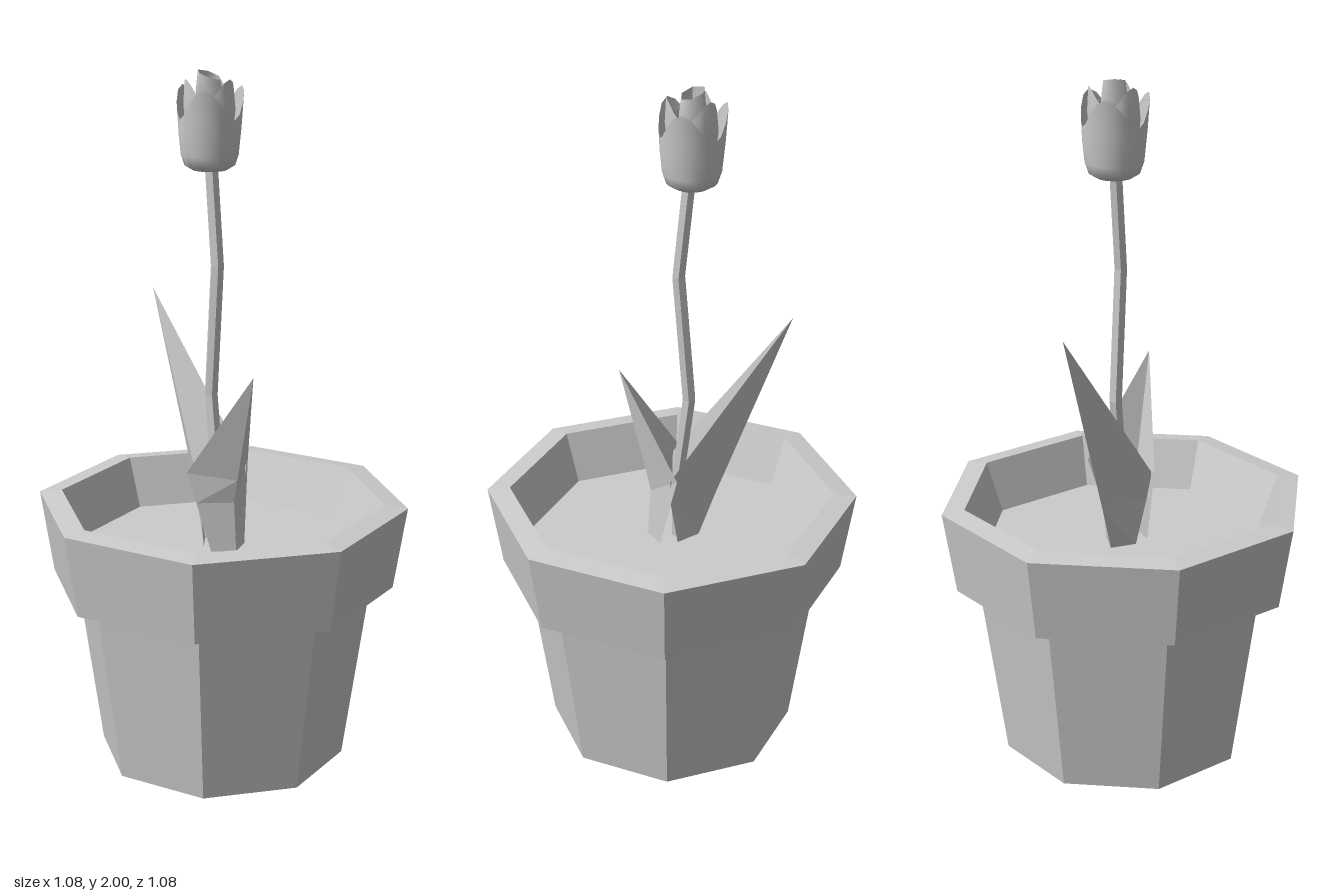
import * as THREE from 'three';

const flat = new THREE.MeshStandardMaterial({ color: 0xcccccc, flatShading: true });
const thin = new THREE.MeshStandardMaterial({ color: 0xcccccc, flatShading: true, side: THREE.DoubleSide });
const petal = new THREE.MeshStandardMaterial({ color: 0xcccccc, side: THREE.DoubleSide });

function named(name, geometry, material) {
  const mesh = new THREE.Mesh(geometry, material);
  mesh.name = name;
  return mesh;
}

const profile = (pts) => pts.map(([r, y]) => new THREE.Vector2(r, y));

// Hexagonal stem whose rings are moved onto a zigzag path
function stemGeometry(path, radius) {
  const g = new THREE.CylinderGeometry(radius, radius, path.length - 1, 6, path.length - 1, false);
  const p = g.attributes.position;
  for (let i = 0; i < p.count; i++) {
    const row = Math.round(p.getY(i) + (path.length - 1) / 2);
    p.setXYZ(i, p.getX(i) + path[row][0], path[row][1], p.getZ(i));
  }
  return g;
}

// Leaf folded along a crease: rows of [edge x, edge y, half width, crease x, crease y], then a tip
function leafGeometry(rows, tip) {
  const pos = [], index = [];
  for (const [ex, ey, w, cx, cy] of rows) pos.push(ex, ey, w, cx, cy, 0, ex, ey, -w);
  pos.push(...tip);
  const last = rows.length * 3;
  for (let r = 0; r < rows.length; r++) {
    for (let k = 0; k < 2; k++) {
      const a = r * 3 + k;
      if (r < rows.length - 1) index.push(a, a + 1, a + 4, a, a + 4, a + 3);
      else index.push(a, a + 1, last);
    }
  }
  const g = new THREE.BufferGeometry();
  g.setAttribute('position', new THREE.Float32BufferAttribute(pos, 3));
  g.setIndex(index);
  g.computeVertexNormals();
  return g;
}

// Cup whose upper part is lifted into petal tips; phase is the angle of one tip
function petalCup(pts, sides, tips, lift, phase) {
  const g = new THREE.LatheGeometry(profile(pts), sides);
  const p = g.attributes.position;
  const y0 = pts[pts.length - 3][1], y1 = pts[pts.length - 1][1];
  for (let i = 0; i < p.count; i++) {
    const angle = Math.atan2(p.getX(i), p.getZ(i));
    const wave = 0.5 + 0.5 * Math.cos(tips * (angle - phase));
    const t = Math.max(0, (p.getY(i) - y0) / (y1 - y0));
    const flare = 1 + 0.1 * wave * t;
    p.setXYZ(i, p.getX(i) * flare, p.getY(i) + lift * wave * t, p.getZ(i) * flare);
  }
  g.computeVertexNormals();
  return g;
}

export function createModel() {
  const model = new THREE.Group();

  // Octagonal pot with a stepped, hollow rim
  model.add(named('pot', new THREE.LatheGeometry(profile([
    [0, 0], [0.36, 0], [0.435, 0.53], [0.5, 0.53], [0.538, 0.772], [0.472, 0.78], [0.42, 0.635],
  ]), 8), flat));
  model.add(named('soil', new THREE.LatheGeometry(profile([[0.42, 0.635], [0, 0.635]]), 8), flat));

  // Leaves on either side of the stem
  model.add(named('leftLeaf', leafGeometry([
    [0.03, 0.635, 0.06, 0.07, 0.635],
    [0, 0.78, 0.09, 0.06, 0.78],
    [-0.02, 0.87, 0.11, 0.075, 0.85],
  ], [0.148, 1.17, 0]), thin));
  model.add(named('rightLeaf', leafGeometry([
    [-0.02, 0.635, 0.05, -0.08, 0.635],
    [0, 0.78, 0.075, -0.13, 0.78],
    [0, 0.86, 0.09, -0.16, 0.86],
  ], [-0.338, 1.34, 0]), thin));

  // Bent stem
  model.add(named('stem', stemGeometry([
    [-0.02, 0.63], [-0.02, 0.84], [-0.05, 1.08], [-0.02, 1.46], [-0.048, 1.74],
  ], 0.02), flat));

  // Flower head: nested petal cups around a small bud
  const flower = new THREE.Group();
  flower.name = 'flower';
  flower.position.x = -0.055;
  flower.add(named('outerPetals', petalCup([
    [0, 1.725], [0.05, 1.727], [0.071, 1.74], [0.081, 1.77], [0.086, 1.82], [0.088, 1.87],
  ], 24, 3, 0.085, Math.PI / 4), petal));
  flower.add(named('innerPetals', petalCup([
    [0, 1.79], [0.05, 1.8], [0.066, 1.84], [0.07, 1.88], [0.064, 1.92],
  ], 24, 3, 0.06, Math.PI * 0.58), petal));
  flower.add(named('bud', petalCup([
    [0, 1.88], [0.034, 1.88], [0.04, 1.93], [0.032, 1.975],
  ], 6, 1, 0.025, -Math.PI / 3), petal));
  model.add(flower);

  return model;
}
